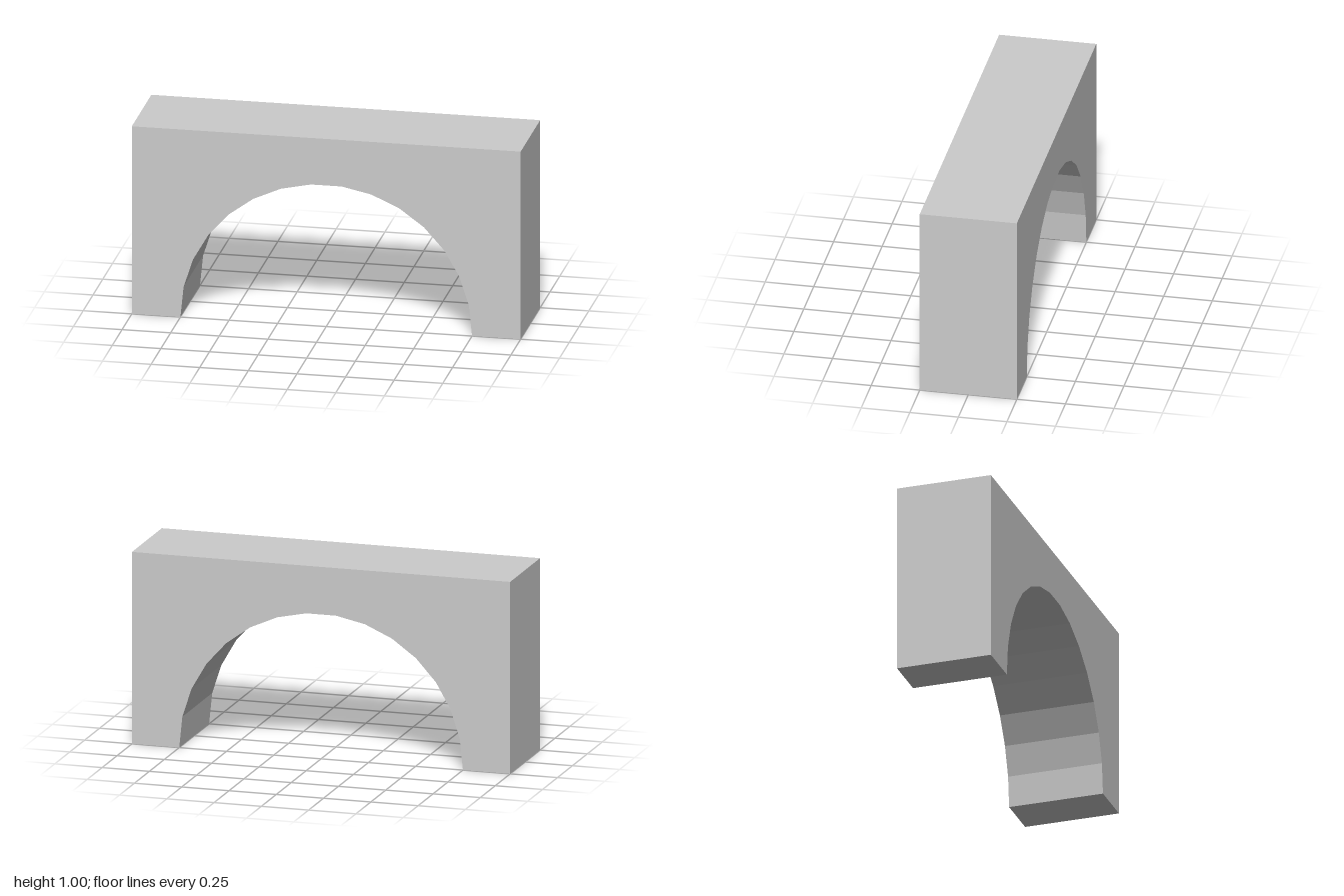
import * as THREE from 'three';

export function createModel() {
  const group = new THREE.Group();
  const material = new THREE.MeshStandardMaterial({ color: 0xcccccc, flatShading: true });

  // Block outline with a faceted semicircular opening cut from its underside
  const radius = 0.75, segments = 15, rise = 0.006, depth = 0.5;
  const outline = new THREE.Shape();
  outline.moveTo(1, 0);
  outline.lineTo(1, 1);
  outline.lineTo(-1, 1);
  outline.lineTo(-1, 0);
  for (let i = 0; i <= segments; i++) {
    const a = Math.PI * (1 - i / segments);
    const atFoot = i === 0 || i === segments;
    outline.lineTo(radius * Math.cos(a), atFoot ? 0 : rise + radius * Math.sin(a));
  }
  outline.closePath();

  const geometry = new THREE.ExtrudeGeometry(outline, { depth, bevelEnabled: false });
  geometry.translate(0, 0, -depth / 2);

  const arch = new THREE.Mesh(geometry, material);
  arch.name = 'archBlock';
  group.add(arch);
  return group;
}
